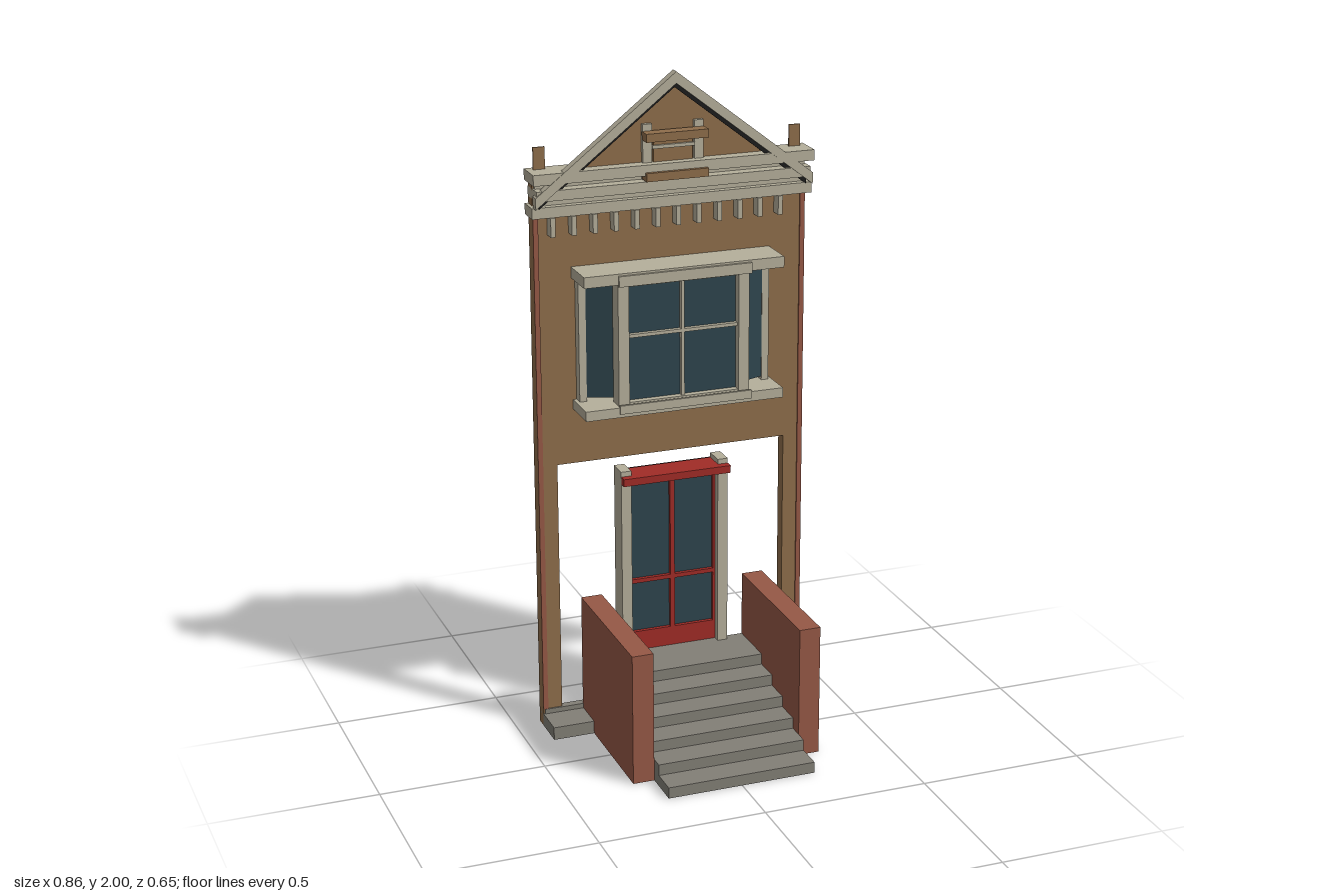
import * as THREE from 'three';

const mat = (name, color, side = THREE.FrontSide) => {
  const m = new THREE.MeshStandardMaterial({ color, side });
  m.name = name;
  return m;
};

export function createModel() {
  const brown = mat('brown wall', 0x8f6e4b, THREE.DoubleSide);
  const cream = mat('cream trim', 0xb5af9b);
  const stone = mat('grey stone', 0x827f76);
  const brick = mat('red brick', 0x965846);
  const red = mat('red paint', 0xa02c27);
  const glass = mat('dark glass', 0x2e444d, THREE.DoubleSide);
  const black = mat('black backing', 0x1c1c1c);

  const root = new THREE.Group();
  root.name = 'townhouseFacade';

  const add = (name, geo, material) => {
    const m = new THREE.Mesh(geo, material);
    m.name = name;
    root.add(m);
    return m;
  };
  // Box given by its limits on each axis
  const box = (name, material, x0, x1, y0, y1, z0, z1) => {
    const m = add(name, new THREE.BoxGeometry(x1 - x0, y1 - y0, z1 - z0), material);
    m.position.set((x0 + x1) / 2, (y0 + y1) / 2, (z0 + z1) / 2);
    return m;
  };
  const pair = (name, material, x0, x1, ...rest) => {
    box(name + 'Left', material, x0, x1, ...rest);
    box(name + 'Right', material, -x1, -x0, ...rest);
  };
  const outline = pts => new THREE.Shape(pts.map(p => new THREE.Vector2(...p)));
  const slab = (name, material, shape, z0, z1) => {
    const g = new THREE.ExtrudeGeometry(shape, { depth: z1 - z0, bevelEnabled: false });
    return add(name, g.translate(0, 0, z0), material);
  };

  // Main wall: door opening from the ground, window opening as a hole
  const wall = outline([[-0.42, 0], [-0.36, 0], [-0.36, 0.84], [0.36, 0.84], [0.36, 0],
    [0.42, 0], [0.42, 1.71], [-0.42, 1.71]]);
  wall.holes.push(new THREE.Path([[-0.29, 1.025], [-0.29, 1.42], [0.29, 1.42], [0.29, 1.025]]
    .map(p => new THREE.Vector2(...p))));
  slab('wall', brown, wall, -0.297, -0.26);
  pair('brickEdge', brick, 0.405, 0.42, 0.055, 1.6, -0.26, -0.256);

  // Plinth, steps and cheek walls
  box('plinth', stone, -0.42, 0.42, 0, 0.04, -0.285, -0.155);
  box('plinthLedge', stone, -0.415, 0.415, 0.04, 0.055, -0.28, -0.255);
  for (let i = 0; i < 6; i++) {
    box('step' + (i + 1), stone, -0.228, 0.228, i * 0.034, (i + 1) * 0.034,
      i === 5 ? -0.26 : -0.155, 0.322 - i * 0.0832);
  }
  pair('cheekWall', brick, 0.228, 0.293, 0, 0.405, -0.26, 0.2);

  // Door
  pair('doorPost', cream, 0.138, 0.17, 0.04, 0.8, -0.3, -0.235);
  box('doorHeader', red, -0.17, 0.17, 0.762, 0.785, -0.234, -0.21);
  box('doorHeaderBack', red, -0.138, 0.138, 0.762, 0.785, -0.3, -0.234);
  box('doorGlass', glass, -0.138, 0.138, 0.2, 0.762, -0.276, -0.27);
  box('doorKickPanel', red, -0.138, 0.138, 0.04, 0.265, -0.28, -0.258);
  box('doorRail', red, -0.138, 0.138, 0.425, 0.438, -0.27, -0.258);
  box('doorMullion', red, -0.007, 0.007, 0.265, 0.762, -0.27, -0.258);
  pair('doorStile', red, 0.131, 0.138, 0.265, 0.762, -0.27, -0.258);
  box('doorBacking', black, -0.153, 0.153, 0.04, 0.777, -0.324, -0.3);

  // Bay window
  box('bayLintel', cream, -0.308, 0.308, 1.41, 1.443, -0.3, -0.14);
  box('bayLintelLip', cream, -0.205, 0.205, 1.405, 1.437, -0.14, -0.132);
  box('baySill', cream, -0.308, 0.308, 1.008, 1.038, -0.3, -0.14);
  box('baySillLip', cream, -0.205, 0.205, 1.02, 1.046, -0.14, -0.132);
  pair('bayFrontPost', cream, 0.17, 0.203, 1.038, 1.41, -0.2, -0.15);
  pair('bayWallPost', cream, 0.275, 0.297, 1.038, 1.41, -0.26, -0.23);
  box('bayTopRail', cream, -0.17, 0.17, 1.397, 1.41, -0.19, -0.155);
  box('bayBottomRail', cream, -0.17, 0.17, 1.034, 1.046, -0.19, -0.155);
  box('bayGlass', glass, -0.17, 0.17, 1.04, 1.4, -0.182, -0.176);
  box('bayCrossbar', cream, -0.17, 0.17, 1.24, 1.25, -0.176, -0.162);
  box('bayMullion', cream, -0.005, 0.005, 1.046, 1.4, -0.176, -0.162);
  box('bayBacking', black, -0.17, 0.17, 1.04, 1.4, -0.215, -0.182);
  for (const s of [1, -1]) {
    const pane = add(s > 0 ? 'sidePaneLeft' : 'sidePaneRight',
      new THREE.PlaneGeometry(0.094, 0.355), glass);
    pane.position.set(s * 0.237, 1.227, -0.217);
    pane.rotation.y = s * 0.36;
  }

  // Cornice with dentils
  box('lowerCornice', cream, -0.43, 0.43, 1.602, 1.634, -0.3, -0.23);
  box('frieze', cream, -0.415, 0.415, 1.634, 1.703, -0.26, -0.25);
  box('middleCornice', cream, -0.42, 0.42, 1.655, 1.685, -0.3, -0.215);
  box('upperCornice', cream, -0.43, 0.43, 1.703, 1.735, -0.302, -0.212);
  for (let i = 0; i < 12; i++) {
    const x = -0.37 + i * 0.0636;
    box('dentil' + (i + 1), cream, x - 0.007, x + 0.007, 1.545, 1.602, -0.26, -0.225);
  }
  pair('parapetPost', brown, 0.375, 0.41, 1.735, 1.8, -0.28, -0.275);

  // Gable face with raking trim
  slab('gableFace', brown, outline([[-0.33, 1.715], [0.33, 1.715], [0, 1.972]]), -0.255, -0.251);
  const chevron = (top, t, w) => {
    const low = top - w * 0.782;
    return outline([[0, top], [-w, low], [-w, low - t], [0, top - t], [w, low - t], [w, low]]);
  };
  slab('gableTrim', cream, chevron(2, 0.034, 0.425), -0.238, -0.21);
  slab('gableShadowStrip', black, chevron(1.966, 0.014, 0.41), -0.235, -0.225);

  // Attic window
  pair('atticPost', cream, 0.065, 0.093, 1.67, 1.848, -0.28, -0.238);
  box('atticPanel', brown, -0.06, 0.06, 1.715, 1.82, -0.27, -0.24);
  box('atticLintel', brown, -0.095, 0.095, 1.803, 1.828, -0.24, -0.2);
  box('atticSill', brown, -0.095, 0.095, 1.688, 1.713, -0.24, -0.2);
  box('atticCrossbar', cream, -0.065, 0.065, 1.775, 1.785, -0.24, -0.232);
  box('atticBacking', black, -0.077, 0.077, 1.7, 1.822, -0.305, -0.278);

  return root;
}
